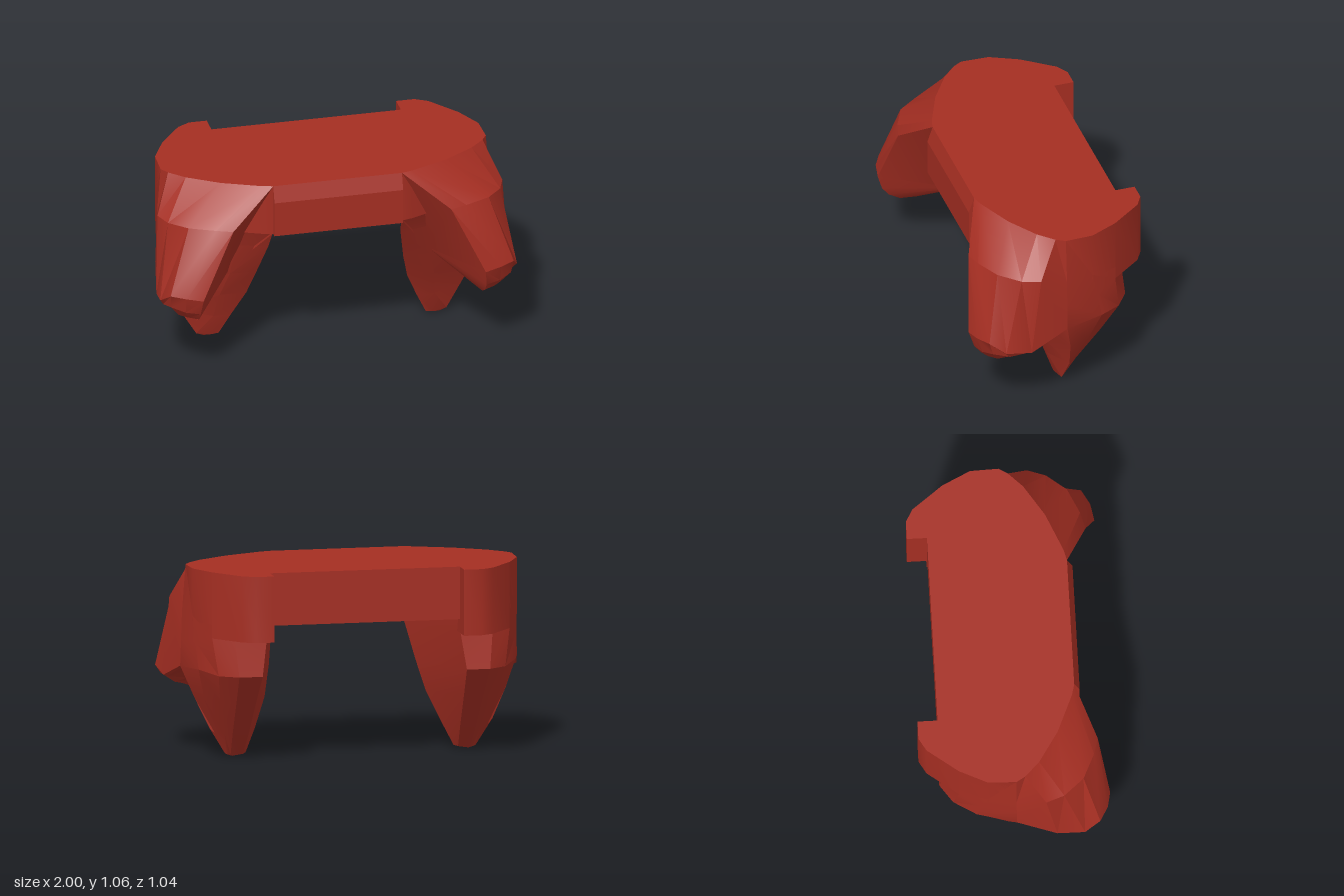
import * as THREE from 'three';
import { toCreasedNormals } from 'three/addons/utils/BufferGeometryUtils.js';

const red = new THREE.MeshStandardMaterial({ color: 0xa52e22, side: THREE.DoubleSide });
red.name = 'deepRed';

// Geometry from a list of triangles; mirror = true reflects it across x = 0
function fromTriangles(tris, mirror) {
  const out = [];
  for (const [a, b, c] of tris) {
    for (const p of mirror ? [a, c, b] : [a, b, c]) out.push(mirror ? -p[0] : p[0], p[1], p[2]);
  }
  const g = new THREE.BufferGeometry();
  g.setAttribute('position', new THREE.Float32BufferAttribute(out, 3));
  return toCreasedNormals(g, 0.45);
}

// Skin between neighbouring columns of points, each listed from top to bottom
function skin(columns, closed) {
  const tris = [];
  const n = columns.length;
  for (let i = 0; i < (closed ? n : n - 1); i++) {
    const p = columns[i], q = columns[(i + 1) % n];
    for (let r = 0; r < p.length - 1; r++) {
      // Skip triangles that collapse where columns share a point
      if (p[r + 1] !== q[r + 1]) tris.push([p[r], p[r + 1], q[r + 1]]);
      tris.push([p[r], q[r + 1], q[r]]);
    }
  }
  return tris;
}

// Vertical prism over an (x, z) outline
function prism(outline, y0, y1) {
  const shape = new THREE.Shape(outline.map(([x, z]) => new THREE.Vector2(x, -z)));
  const g = new THREE.ExtrudeGeometry(shape, { depth: y1 - y0, bevelEnabled: false });
  return toCreasedNormals(g.rotateX(-Math.PI / 2).translate(0, y0, 0), 0.6);
}

export function createModel() {
  const model = new THREE.Group();
  const add = (geometry, name, parent = model) => {
    const mesh = new THREE.Mesh(geometry, red);
    mesh.name = name;
    parent.add(mesh);
  };
  const TOP = 1.06;

  // Central deck with a flat top, as wide as the flanks
  const deckHalf = [[0.36, 0.345], [0.42, 0.33], [0.63, 0.24], [0.8, 0.13], [0.88, 0.05], [0.91, 0],
    [0.905, -0.155], [0.83, -0.31], [0.74, -0.41]];
  const mirrored = deckHalf.map(([x, z]) => [-x, z]).reverse();
  add(prism([...deckHalf, ...mirrored], 0.77, TOP), 'deck');

  // Front bar with a sloped upper edge
  const profile = new THREE.Shape([[-0.3, TOP], [-0.345, TOP], [-0.375, 0.97], [-0.375, 0.77], [-0.3, 0.77]]
    .map(([a, b]) => new THREE.Vector2(a, b)));
  const bar = new THREE.ExtrudeGeometry(profile, { depth: 0.72, bevelEnabled: false });
  add(bar.rotateY(Math.PI / 2).translate(-0.36, 0, 0), 'frontBar');

  // Front grip: columns run from the inner front edge round to the flank
  const hub = [0.55, 0.485, 0.13];
  const grip = [
    [[0.36, TOP, 0.345], [0.61, 0.865, 0.46], [0.79, 0.49, 0.518], [0.8, 0.4, 0.49], [0.8, 0.35, 0.45], [0.8, 0.315, 0.39]],
    [[0.42, TOP, 0.33], [0.7, 0.87, 0.435], [0.88, 0.505, 0.5], [0.88, 0.41, 0.47], [0.86, 0.36, 0.43], [0.79, 0.318, 0.37]],
    [[0.63, TOP, 0.24], [0.84, 0.87, 0.37], [0.96, 0.51, 0.455], [0.95, 0.43, 0.43], [0.9, 0.36, 0.39], [0.78, 0.323, 0.345]],
    [[0.8, TOP, 0.13], [0.93, 0.86, 0.26], [0.998, 0.45, 0.37], [0.975, 0.41, 0.34], [0.9, 0.36, 0.32], [0.76, 0.333, 0.31]],
    [[0.88, TOP, 0.05], [0.965, 0.86, 0.16], [0.985, 0.417, 0.22], [0.965, 0.41, 0.21], [0.85, 0.4, 0.2], [0.67, 0.405, 0.2]],
    [[0.91, TOP, 0], [0.93, 0.8, 0], [0.94, 0.5, 0], [0.92, 0.5, 0], [0.8, 0.5, 0], [0.6, 0.5, 0]],
  ];
  const gripTris = skin(grip.map(c => [...c, hub]), false);
  const rim = [[0.36, 0.77, 0.34], ...grip[0], grip[3][5], grip[4][5]];
  for (let i = 0; i < rim.length - 1; i++) gripTris.push([hub, rim[i + 1], rim[i]]);

  // Rear leg: columns from the inner front edge, round the outside, to the inner back edge
  const leg = [
    [[0.36, 0.78, 0.34], [0.37, 0.66, 0.27], [0.41, 0.46, 0.16], [0.45, 0.3, 0.085], [0.52, 0.14, 0.015], [0.58, 0.015, -0.025]],
    [[0.53, 0.78, 0.28], [0.54, 0.66, 0.22], [0.56, 0.46, 0.16], [0.6, 0.3, 0.085], [0.62, 0.14, 0.015], [0.62, 0.01, -0.025]],
    [[0.93, 0.8, 0], [0.935, 0.65, 0], [0.94, 0.5, 0], [0.87, 0.33, -0.04], [0.79, 0.16, -0.06], [0.7, 0.015, -0.045]],
    [[0.905, 0.8, -0.155], [0.897, 0.66, -0.185], [0.885, 0.51, -0.215], [0.84, 0.34, -0.15], [0.76, 0.13, -0.07], [0.7, 0.015, -0.045]],
    [[0.83, 0.78, -0.31], [0.83, 0.695, -0.31], [0.8, 0.49, -0.34], [0.77, 0.33, -0.24], [0.72, 0.14, -0.12], [0.69, 0.01, -0.05]],
    [[0.72, 0.78, -0.37], [0.72, 0.695, -0.38], [0.7, 0.49, -0.41], [0.69, 0.33, -0.29], [0.68, 0.14, -0.15], [0.67, 0.005, -0.05]],
    [[0.53, 0.78, -0.37], [0.54, 0.695, -0.38], [0.57, 0.49, -0.41], [0.58, 0.33, -0.29], [0.59, 0.14, -0.15], [0.6, 0.01, -0.05]],
  ];
  const legTris = skin(leg, true);
  const tip = [0.66, 0, -0.045];
  leg.forEach((c, i) => legTris.push([tip, leg[(i + 1) % leg.length][5], c[5]]));

  // Flank wall joining the deck edge to the leg and grip
  const flankTris = skin([
    [[0.91, TOP, 0], leg[2][0]],
    [[0.905, TOP, -0.155], leg[3][0]],
    [[0.83, TOP, -0.31], leg[4][0]],
  ], false);

  // Rear wing: the deeper rim that projects behind the deck
  const wingPlan = [[0.53, -0.52], [0.53, -0.31], [0.83, -0.31], [0.7, -0.48], [0.63, -0.52]];

  for (const mirror of [false, true]) {
    const side = new THREE.Group();
    side.name = mirror ? 'rightSide' : 'leftSide';
    add(fromTriangles(gripTris, mirror), 'frontGrip', side);
    add(fromTriangles([...legTris, ...flankTris], mirror), 'rearLegAndFlank', side);
    add(prism(mirror ? wingPlan.map(([x, z]) => [-x, z]) : wingPlan, 0.695, TOP), 'rearWing', side);
    model.add(side);
  }
  return model;
}
